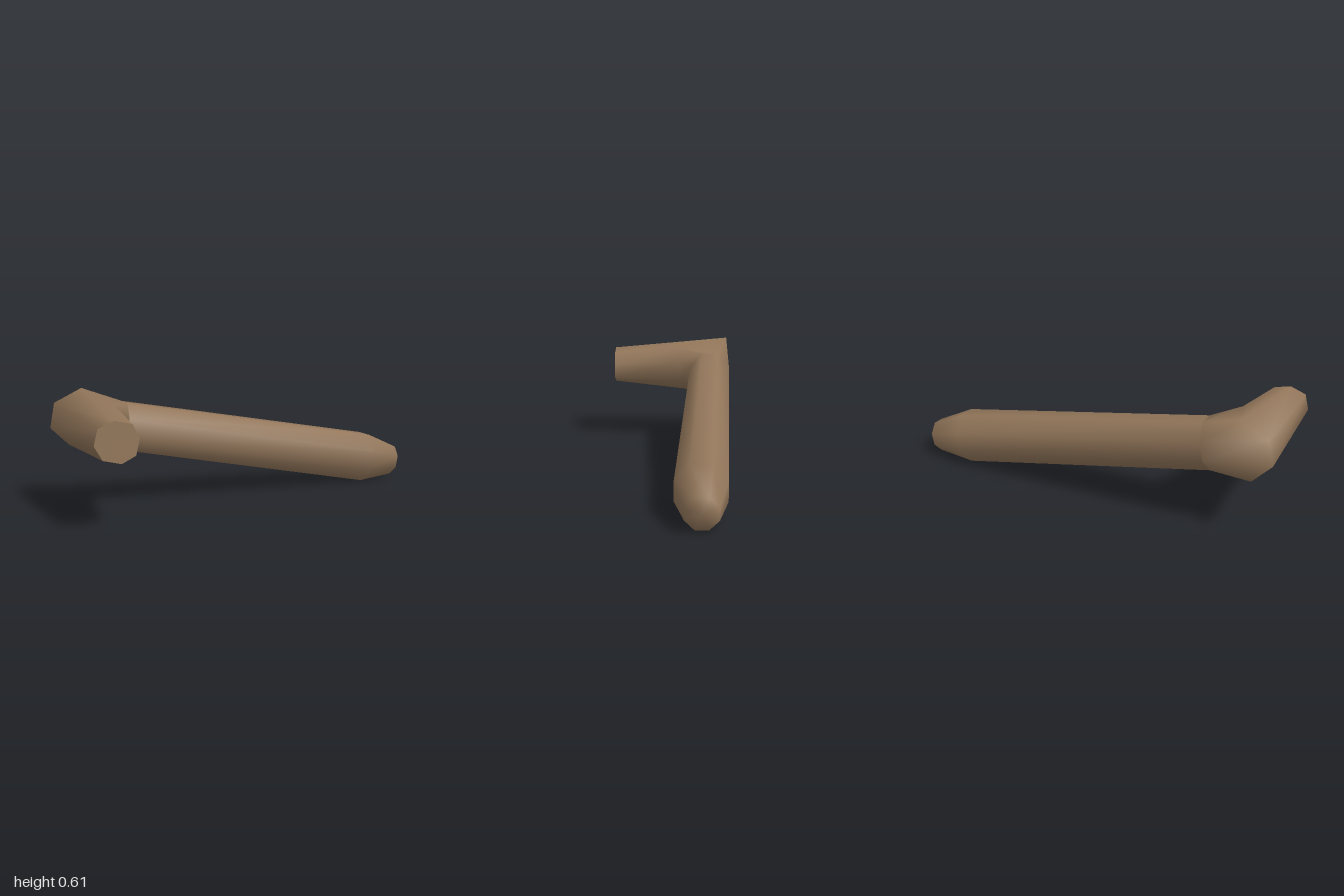
import * as THREE from 'three';

// Octagon across a sloping arm, starting low at the back and going over the top
function armRing(cx, cy, cz, halfY, halfZ) {
  const k = 0.41, slope = 0.2;
  const unit = [[-1, -k], [-1, k], [-k, 1], [k, 1], [1, k], [1, -k], [k, -1], [-k, -1]];
  return unit.map(([z, y]) => [cx + y * halfY * slope, cy + y * halfY, cz + z * halfZ]);
}

function centreOf(ring) {
  return [0, 1, 2].map(i => ring.reduce((sum, p) => sum + p[i], 0) / ring.length);
}

// Skin joining rings of equal count, with an optional smooth end cap
function loft(rings, capEnd) {
  const n = rings[0].length, index = [];
  const points = rings.flat();
  for (let r = 0; r < rings.length - 1; r++) {
    for (let j = 0; j < n; j++) {
      const a = r * n + j, b = r * n + (j + 1) % n;
      index.push(a, b, a + n, b, b + n, a + n);
    }
  }
  if (capEnd) {
    const base = (rings.length - 1) * n;
    points.push(centreOf(rings[rings.length - 1]));
    for (let j = 0; j < n; j++) index.push(points.length - 1, base + j, base + (j + 1) % n);
  }
  return build(points, index);
}

function build(points, index) {
  const g = new THREE.BufferGeometry();
  g.setAttribute('position', new THREE.Float32BufferAttribute(points.flat(), 3));
  g.setIndex(index);
  g.computeVertexNormals();
  return g;
}

export function createModel() {
  const group = new THREE.Group();
  group.name = 'bentBranch';
  const bark = new THREE.MeshStandardMaterial({ color: 0x92765a });
  bark.name = 'barkBrown';

  const add = (name, geometry) => {
    const mesh = new THREE.Mesh(geometry, bark);
    mesh.name = name;
    group.add(mesh);
  };

  // Front end of the short handle
  const handleEnd = [
    [-0.97, 0.43], [-0.95, 0.51], [-0.87, 0.54], [-0.785, 0.52],
    [-0.75, 0.45], [-0.77, 0.37], [-0.84, 0.337], [-0.93, 0.36],
  ].map(([x, y]) => [x, y, 0.343]);

  // Slanted ring at the bend
  const bend = [
    [-1.0, 0.41, -0.33], [-0.975, 0.54, -0.33], [-0.83, 0.608, -0.332], [-0.75, 0.555, -0.05],
    [-0.695, 0.48, -0.05], [-0.695, 0.37, -0.055], [-0.76, 0.306, -0.07], [-0.905, 0.316, -0.338],
  ];

  // Rings along the long shaft
  const shaftStart = armRing(-0.655, 0.415, -0.229, 0.12, 0.114);
  const shaftEnd = armRing(0.775, 0.133, -0.166, 0.132, 0.125);
  const tip = armRing(0.982, 0.095, -0.167, 0.08, 0.078);

  add('handle', loft([handleEnd, bend, shaftStart], false));
  add('shaft', loft([shaftStart, shaftEnd, tip], true));

  // Flat cut face of the handle
  const cap = [...handleEnd, centreOf(handleEnd)];
  const capIndex = [];
  for (let j = 0; j < 8; j++) capIndex.push(8, (j + 1) % 8, j);
  add('handleCutFace', build(cap, capIndex));

  return group;
}
